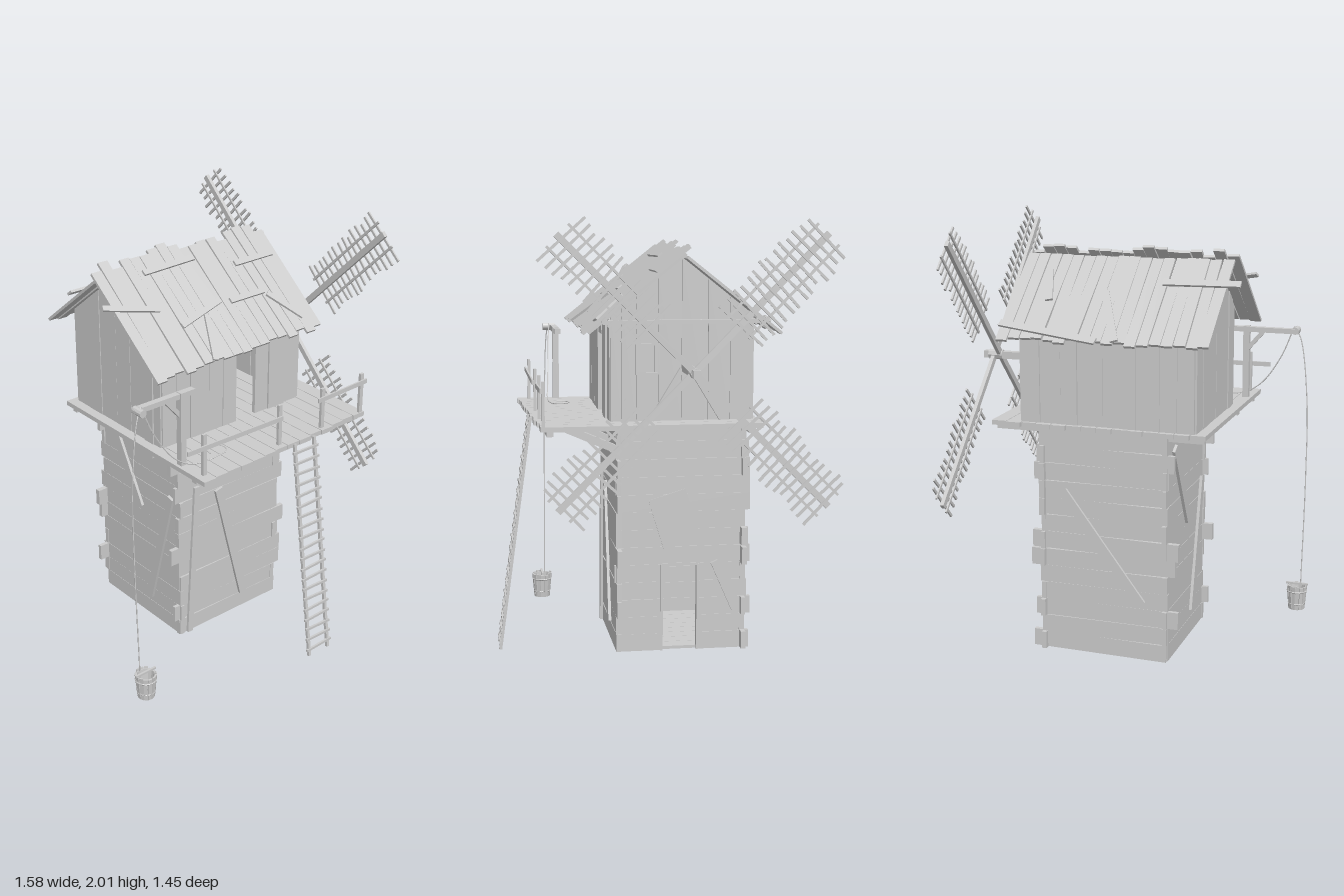
import * as THREE from 'three';

const V = (x, y, z) => new THREE.Vector3(x, y, z);
const X = V(1, 0, 0), Y = V(0, 1, 0), Z = V(0, 0, 1);
const mat = new THREE.MeshStandardMaterial({ color: 0xcccccc, flatShading: true, side: THREE.DoubleSide });

let seed = 7;
const rnd = (a = 0, b = 1) => {
  seed = (seed * 16807) % 2147483647;
  return a + (b - a) * (seed / 2147483647);
};

function add(parent, name, geo) {
  const m = new THREE.Mesh(geo, mat);
  m.name = name;
  parent.add(m);
}

function group(parent, name) {
  const g = new THREE.Group();
  g.name = name;
  parent.add(g);
  return g;
}

// Board from a to b; "normal" is the direction of its thickness
function board(parent, name, a, b, width, thick, normal) {
  const dir = b.clone().sub(a), len = dir.length();
  dir.normalize();
  const side = normal.clone().cross(dir).normalize();
  const n = dir.clone().cross(side);
  const geo = new THREE.BoxGeometry(len, width, thick);
  geo.applyMatrix4(new THREE.Matrix4().makeBasis(dir, side, n).setPosition(a.clone().add(b).multiplyScalar(0.5)));
  add(parent, name, geo);
}

// Tower: horizontal planks with ragged ends, a doorway on the +x side
const T = { x0: -0.252, x1: 0.338, z0: -0.415, z1: 0.165, top: 1.07 };
const DOOR = { z0: -0.205, z1: -0.035, top: 0.41 };

function buildTower(root) {
  const g = group(root, 'tower');
  const rows = 13, h = T.top / rows;
  const over = () => (rnd() < 0.45 ? rnd(0.03, 0.065) : rnd(0, 0.02));
  for (let i = 0; i < rows; i++) {
    const y = (i + 0.5) * h, w = h - 0.001;
    for (const z of [T.z0, T.z1]) {
      const t = rnd(-0.004, 0.004);
      board(g, 'wallPlank', V(T.x0 - over(), y + t, z), V(T.x1 + over(), y - t, z), w, rnd(0.016, 0.026), Z);
    }
    for (const x of [T.x0, T.x1]) {
      const a = T.z0 - over() * 0.6, b = T.z1 + over() * 0.3;
      const spans = x === T.x1 && y < DOOR.top ? [[a, DOOR.z0], [DOOR.z1, b]] : [[a, b]];
      for (const [p, q] of spans) board(g, 'wallPlank', V(x, y, p), V(x, y, q), w, rnd(0.016, 0.026), X);
    }
  }
  // Floor
  for (let i = 0; i < 8; i++) {
    const x = T.x0 + 0.037 + i * 0.0737;
    board(g, 'floorPlank', V(x, 0.008, T.z0), V(x, 0.008, T.z1), 0.071, 0.014, Y);
  }
  // Door frame
  for (const z of [DOOR.z0, DOOR.z1]) board(g, 'doorJamb', V(T.x1, 0, z), V(T.x1, DOOR.top, z), 0.012, 0.028, X);
  board(g, 'doorLintel', V(T.x1, DOOR.top, DOOR.z0), V(T.x1, DOOR.top, DOOR.z1), 0.012, 0.028, X);
  // Repair boards nailed over the walls
  const f = T.z1 + 0.018, k = T.z0 - 0.018, l = T.x0 - 0.018, r = T.x1 + 0.018;
  board(g, 'repairBoard', V(-0.21, 0.0, f), V(-0.165, 0.8, f), 0.03, 0.014, Z);
  board(g, 'repairBoard', V(-0.03, 0.74, f), V(0.135, 0.09, f), 0.045, 0.014, Z);
  board(g, 'repairBoard', V(0.24, 0.78, k), V(-0.14, 0.27, k), 0.045, 0.014, Z);
  board(g, 'repairBoard', V(l, 1.0, -0.34), V(l, 0.6, -0.12), 0.05, 0.014, X);
  board(g, 'repairBoard', V(l, 0.75, 0.12), V(l, 0.12, -0.05), 0.04, 0.014, X);
  board(g, 'repairBoard', V(r, 0.42, -0.28), V(r, 0.19, -0.38), 0.035, 0.014, X);
  board(g, 'patchPanel', V(r - 0.006, 0.74, -0.06), V(r - 0.006, 0.51, -0.13), 0.18, 0.01, X);
}

// Platform, its braces and the front railing
function buildPlatform(root) {
  const g = group(root, 'platform');
  const n = 14, w = 1.02 / n;
  for (let i = 0; i < n; i++) {
    const x = -0.445 + (i + 0.5) * w, front = 0.57 - 0.04 * (i / n);
    board(g, 'deckPlank', V(x, 1.085, -0.455 - rnd(0, 0.015)), V(x, 1.085, front + rnd(-0.006, 0.008)), w - 0.003, 0.022, Y);
  }
  for (const z of [-0.41, 0.18, 0.49]) board(g, 'deckBeam', V(-0.43, 1.063, z), V(0.56, 1.063, z), 0.03, 0.024, Y);
  for (const x of [-0.24, 0.04, 0.335]) board(g, 'brace', V(x, 0.95, T.z1), V(x, 1.07, 0.44), 0.035, 0.035, X);
  for (const x of [-0.4, 0.04, 0.305, 0.555]) board(g, 'railPost', V(x, 1.09, 0.52), V(x, 1.295, 0.52), 0.02, 0.014, Z);
  board(g, 'rail', V(-0.5, 1.235, 0.531), V(0.05, 1.23, 0.531), 0.022, 0.008, Z);
  board(g, 'rail', V(0.27, 1.245, 0.531), V(0.58, 1.255, 0.531), 0.022, 0.008, Z);
}

function buildLadder(root) {
  const g = group(root, 'ladder');
  for (const s of [-1, 1]) board(g, 'ladderRail', V(0.165 + s * 0.06, 0, 0.706), V(0.165 + s * 0.06, 1.09, 0.555), 0.014, 0.014, X);
  for (let i = 0; i < 20; i++) {
    const t = (i + 0.7) / 20.5, y = 1.09 * t, z = 0.712 - 0.151 * t, d = rnd(-0.004, 0.004);
    board(g, 'rung', V(0.088, y + d, z), V(0.242, y - d, z), 0.012, 0.01, Z);
  }
}

// House: vertical planks, pitched roof
const H = { x: 0.022, z: -0.11, hx: 0.41, hz: 0.32, y: 1.095, ridge: 1.82, slope: 0.79 };
const roofY = dz => H.ridge - H.slope * Math.abs(dz);

function gableBoard(g, x, z0, z1, y0, y1 = 9) {
  const s = new THREE.Shape();
  s.moveTo(z0, y0);
  s.lineTo(z1, y0);
  s.lineTo(z1, Math.min(y1, roofY(z1)));
  s.lineTo(z0, Math.min(y1, roofY(z0)));
  const geo = new THREE.ExtrudeGeometry(s, { depth: 0.018, bevelEnabled: false });
  geo.rotateY(-Math.PI / 2).translate(x + 0.009 + rnd(-0.003, 0.003), 0, H.z);
  add(g, 'gablePlank', geo);
}

function buildHouse(root) {
  const g = group(root, 'house');
  const edges = [-H.hx, -0.33, -0.25, -0.14, -0.06, 0.02, 0.14, 0.22, 0.32, H.hx];
  for (const s of [-1, 1]) {
    for (let i = 0; i < edges.length - 1; i++) {
      if (s > 0 && edges[i] === 0.02) continue; // open doorway at the front
      const x = H.x + (edges[i] + edges[i + 1]) / 2, z = H.z + s * (H.hz + rnd(-0.005, 0.005));
      board(g, 'wallPlank', V(x, H.y, z), V(x, 1.55, z), edges[i + 1] - edges[i] - 0.002, 0.018, Z);
    }
  }
  board(g, 'doorHeader', V(H.x + 0.02, 1.505, H.z + H.hz), V(H.x + 0.14, 1.505, H.z + H.hz), 0.08, 0.018, Z);
  const cuts = [-H.hz, -0.22, -0.12, 0, 0.105, 0.205, 0.27, H.hz];
  for (const s of [-1, 1]) {
    const x = H.x + s * H.hx;
    for (let i = 0; i < cuts.length - 1; i++) {
      const a = cuts[i] + 0.001, b = cuts[i + 1] - 0.001;
      if (s > 0 && cuts[i] === 0.105) { // window
        gableBoard(g, x, a, b, H.y, 1.31);
        gableBoard(g, x, a, b, 1.44);
      } else gableBoard(g, x, a, b, H.y);
    }
  }
  const wx = H.x + H.hx + 0.012;
  for (const y of [1.31, 1.44]) board(g, 'windowFrame', V(wx, y, H.z + 0.1), V(wx, y, H.z + 0.21), 0.01, 0.01, X);
  for (const z of [0.105, 0.205]) board(g, 'windowFrame', V(wx, 1.31, H.z + z), V(wx, 1.44, H.z + z), 0.01, 0.01, X);
  board(g, 'gableBeam', V(wx + 0.02, 1.54, H.z - 0.36), V(wx + 0.02, 1.54, H.z + 0.36), 0.018, 0.03, X);
  for (const s of [-1, 1]) board(g, 'axleStrut', V(wx + 0.01, 1.33, H.z - 0.02 + s * 0.02), V(wx + 0.01, 1.1, H.z - 0.02 + s * 0.16), 0.022, 0.02, X);

  // Roof boards, longer or shorter at random; the front ones run past the ridge
  const roof = group(g, 'roof');
  const n = 18, w = 0.985 / n;
  for (const s of [-1, 1]) {
    const nrm = V(0, 1, s * H.slope).normalize();
    const at = (x, dz, lift) => V(x, H.ridge - H.slope * s * dz, H.z + dz).addScaledVector(nrm, lift);
    for (let i = 0; i < n; i++) {
      const x = (s > 0 ? -0.5 : -0.478) + (i + 0.5) * w, skew = rnd(-0.004, 0.004), lift = rnd(0.006, 0.014);
      const start = s > 0 ? -rnd(0.01, 0.075) : rnd(0, 0.01);
      board(roof, 'roofBoard', at(x + skew, s * start, lift), at(x - skew, s * rnd(0.41, 0.435), lift), w - rnd(0.001, 0.004), 0.013, nrm);
    }
    const patches = s > 0
      ? [[-0.55, 0.11, -0.29, 0.175], [-0.26, 0.025, 0.03, 0.02], [-0.23, 0.26, 0.03, 0.21], [-0.17, 0.42, -0.08, 0.25],
        [0.08, 0.225, 0.28, 0.225], [0.22, 0.09, 0.45, 0.09], [0.29, 0.24, 0.4, 0.37]]
      : [[-0.54, -0.125, -0.185, -0.13], [-0.05, -0.415, 0.07, -0.185], [0.035, -0.42, 0.51, -0.36], [0.32, -0.24, 0.37, -0.095]];
    for (const [x0, d0, x1, d1] of patches) board(roof, 'roofPatch', at(x0, d0, 0.024), at(x1, d1, 0.024), s > 0 ? 0.027 : 0.035, 0.011, nrm);
  }
}

// Sails: two crossed spars, a lattice at each end
function buildSails(root) {
  const g = group(root, 'sails');
  g.position.set(0, 1.335, -0.125);
  board(g, 'axle', V(0.38, 0, 0), V(0.75, 0, 0), 0.034, 0.034, Y);
  add(g, 'hub', new THREE.CylinderGeometry(0.024, 0.024, 0.07, 8).rotateZ(Math.PI / 2).translate(0.69, 0, 0));
  const offsets = [[0.67, -0.03], [0.7, 0.01], [0.67, 0.01], [0.7, 0.01]]; // x at the hub, lean per unit of length
  offsets.forEach(([x, lean], i) => {
    const a = Math.PI / 4 + i * Math.PI / 2;
    const out = V(lean, Math.sin(a), -Math.cos(a)), side = V(0, Math.cos(a), Math.sin(a));
    const at = (r, t, dx = 0) => V(x + dx, 0, 0).addScaledVector(out, r).addScaledVector(side, t);
    const sail = group(g, 'sail');
    board(sail, 'spar', at(0, 0), at(0.84, 0), 0.028, 0.018, X);
    for (const t of [-0.065, 0.065]) board(sail, 'stringer', at(0.27, t, 0.009), at(0.835, t, 0.009), 0.011, 0.008, X);
    for (let k = 0; k < 14; k++) {
      const r = 0.285 + k * 0.0405, d = rnd(-0.008, 0.008);
      board(sail, 'slat', at(r + d, -rnd(0.11, 0.14), 0.014), at(r - d, rnd(0.11, 0.14), 0.014), 0.012, 0.008, X);
    }
  });
}

// Crane with rope, coil and bucket
function buildCrane(root) {
  const g = group(root, 'crane');
  board(g, 'cranePost', V(-0.414, 1.09, 0.385), V(-0.414, 1.45, 0.385), 0.03, 0.03, X);
  board(g, 'craneArm', V(-0.67, 1.435, 0.38), V(-0.345, 1.435, 0.38), 0.024, 0.03, Z);
  board(g, 'craneBrace', V(-0.5, 1.43, 0.38), V(-0.414, 1.33, 0.38), 0.02, 0.02, Z);
  add(g, 'pulley', new THREE.CylinderGeometry(0.018, 0.018, 0.06, 10).rotateX(Math.PI / 2).translate(-0.655, 1.437, 0.4));
  const rope = pts => add(g, 'rope', new THREE.TubeGeometry(new THREE.CatmullRomCurve3(pts.map(p => V(...p))), 60, 0.003, 5));
  rope([[-0.645, 1.455, 0.4], [-0.675, 1.4, 0.41], [-0.712, 1.1, 0.42], [-0.716, 0.7, 0.425], [-0.705, 0.12, 0.43]]);
  const coil = [[-0.645, 1.455, 0.4], [-0.58, 1.3, 0.41], [-0.48, 1.16, 0.42], [-0.38, 1.105, 0.43]];
  for (let i = 0; i <= 8; i++) {
    const a = Math.PI / 2 - i * 0.62;
    coil.push([-0.213 + 0.045 * Math.cos(a), 1.1, 0.383 + 0.045 * Math.sin(a)]);
  }
  rope(coil);

  const b = group(root, 'bucket');
  b.position.set(-0.684, 0, 0.446);
  const profile = [[0, 0.006], [0.036, 0.006], [0.047, 0.118], [0.041, 0.118], [0.032, 0.014], [0, 0.014]];
  add(b, 'bucketBody', new THREE.LatheGeometry(profile.map(p => new THREE.Vector2(...p)), 14));
  for (let i = 0; i < 14; i++) {
    const a = i * Math.PI / 7, c = Math.cos(a), s = Math.sin(a);
    board(b, 'stave', V(0.037 * c, 0, 0.037 * s), V(0.048 * c, rnd(0.115, 0.128), 0.048 * s), 0.017, 0.006, V(c, 0, s));
  }
  for (const [r, y] of [[0.041, 0.03], [0.048, 0.095]]) add(b, 'hoop', new THREE.TorusGeometry(r, 0.004, 5, 20).rotateX(Math.PI / 2).translate(0, y, 0));
  board(b, 'bucketHandle', V(-0.056, 0.13, 0), V(0.056, 0.13, 0), 0.01, 0.01, Z);
}

export function createModel() {
  seed = 7;
  const root = new THREE.Group();
  root.name = 'windmill';
  const mill = group(root, 'mill');
  mill.rotation.y = -0.1;
  for (const build of [buildTower, buildPlatform, buildLadder, buildHouse, buildSails, buildCrane]) build(mill);
  return root;
}
